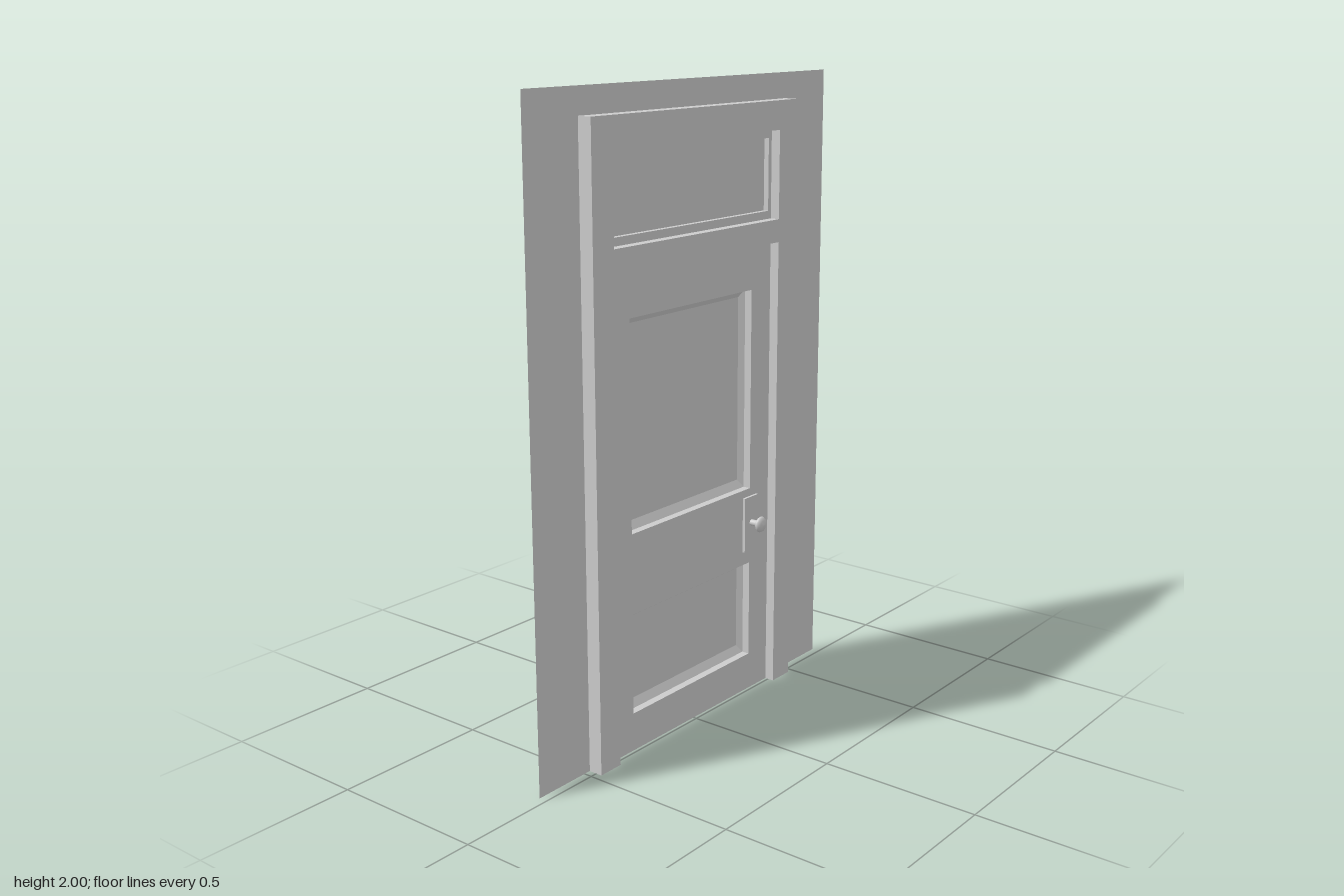
import * as THREE from 'three';

// Depths along the door's facing direction
const WALL = -0.026, CASING = 0.02, LEAF = -0.011, PANE = -0.028, STEP = -0.036, PANEL = -0.051;

const material = new THREE.MeshStandardMaterial({ color: 0xcccccc, side: THREE.DoubleSide });

// Symmetric rectangle: half width, bottom, top
const rect = (w, b, t) => [[-w, b], [-w, t], [w, t], [w, b]];
const toPoints = (r) => r.map(([x, y]) => new THREE.Vector2(x, y));

function add(group, name, geometry) {
  const mesh = new THREE.Mesh(geometry, material);
  mesh.name = name;
  group.add(mesh);
  return mesh;
}

// Flat sheet with optional holes
function sheet(group, name, outline, depth, holes = []) {
  const shape = new THREE.Shape(toPoints(outline));
  for (const h of holes) shape.holes.push(new THREE.Path(toPoints(h)));
  add(group, name, new THREE.ShapeGeometry(shape).translate(0, 0, depth));
}

// Strip of quads joining two rectangles; open ones have no bottom side
function band(group, name, a, za, b, zb, closed = true) {
  const pos = [];
  for (let i = 0; i < (closed ? 4 : 3); i++) {
    const j = (i + 1) % 4;
    const A = [...a[i], za], B = [...a[j], za], C = [...b[j], zb], D = [...b[i], zb];
    pos.push(...A, ...B, ...C, ...A, ...C, ...D);
  }
  const g = new THREE.BufferGeometry();
  g.setAttribute('position', new THREE.Float32BufferAttribute(pos, 3));
  g.computeVertexNormals();
  add(group, name, g);
}

export function createModel() {
  const door = new THREE.Group();
  door.name = 'door';

  const casing = rect(0.477, 0, 1.92);
  const leaf = rect(0.39, 0, 1.483);
  const transom = rect(0.39, 1.555, 1.83);
  const pane = rect(0.375, 1.58, 1.805);

  // Wall and casing, each notched down to the floor
  const notched = (outer, inner) => [...outer, ...[...inner].reverse()];
  sheet(door, 'wall', notched(rect(0.692, 0, 2), casing), WALL);
  band(door, 'casingSides', casing, WALL, casing, CASING, false);
  sheet(door, 'casingFace', notched(casing, leaf), CASING, [transom]);

  // Transom window above the door
  band(door, 'transomReveal', transom, CASING, transom, LEAF);
  sheet(door, 'transomFrame', transom, LEAF, [pane]);
  band(door, 'transomPaneReveal', pane, LEAF, pane, PANE);
  sheet(door, 'transomPane', pane, PANE);

  // Door leaf with two sunken, bevelled panels
  const panels = [['upperPanel', 0.695, 1.342], ['lowerPanel', 0.122, 0.442]];
  band(door, 'doorReveal', leaf, CASING, leaf, LEAF, false);
  sheet(door, 'doorLeaf', leaf, LEAF, panels.map(([, b, t]) => rect(0.292, b, t)));
  for (const [name, b, t] of panels) {
    const outer = rect(0.292, b, t), inner = rect(0.276, b + 0.025, t - 0.025);
    band(door, name + 'Reveal', outer, LEAF, outer, STEP);
    band(door, name + 'Bevel', outer, STEP, inner, PANEL);
    sheet(door, name, inner, PANEL);
  }

  // Lock plate and turned knob
  const plate = add(door, 'lockPlate', new THREE.BoxGeometry(0.07, 0.182, 0.01));
  plate.position.set(0.29, 0.578, LEAF + 0.004);
  const profile = [[0.01, -0.006], [0.01, 0.02], [0.014, 0.024], [0.023, 0.03], [0.026, 0.035],
    [0.023, 0.041], [0.014, 0.046], [0, 0.049]].map(([r, h]) => new THREE.Vector2(r, h));
  const knob = add(door, 'knob', new THREE.LatheGeometry(profile, 20).rotateX(Math.PI / 2));
  knob.position.set(0.29, 0.582, 0);

  // Turn the door so the knob side faces +x
  door.rotation.y = Math.PI / 2;
  const model = new THREE.Group();
  model.name = 'doorway';
  model.add(door);
  return model;
}
